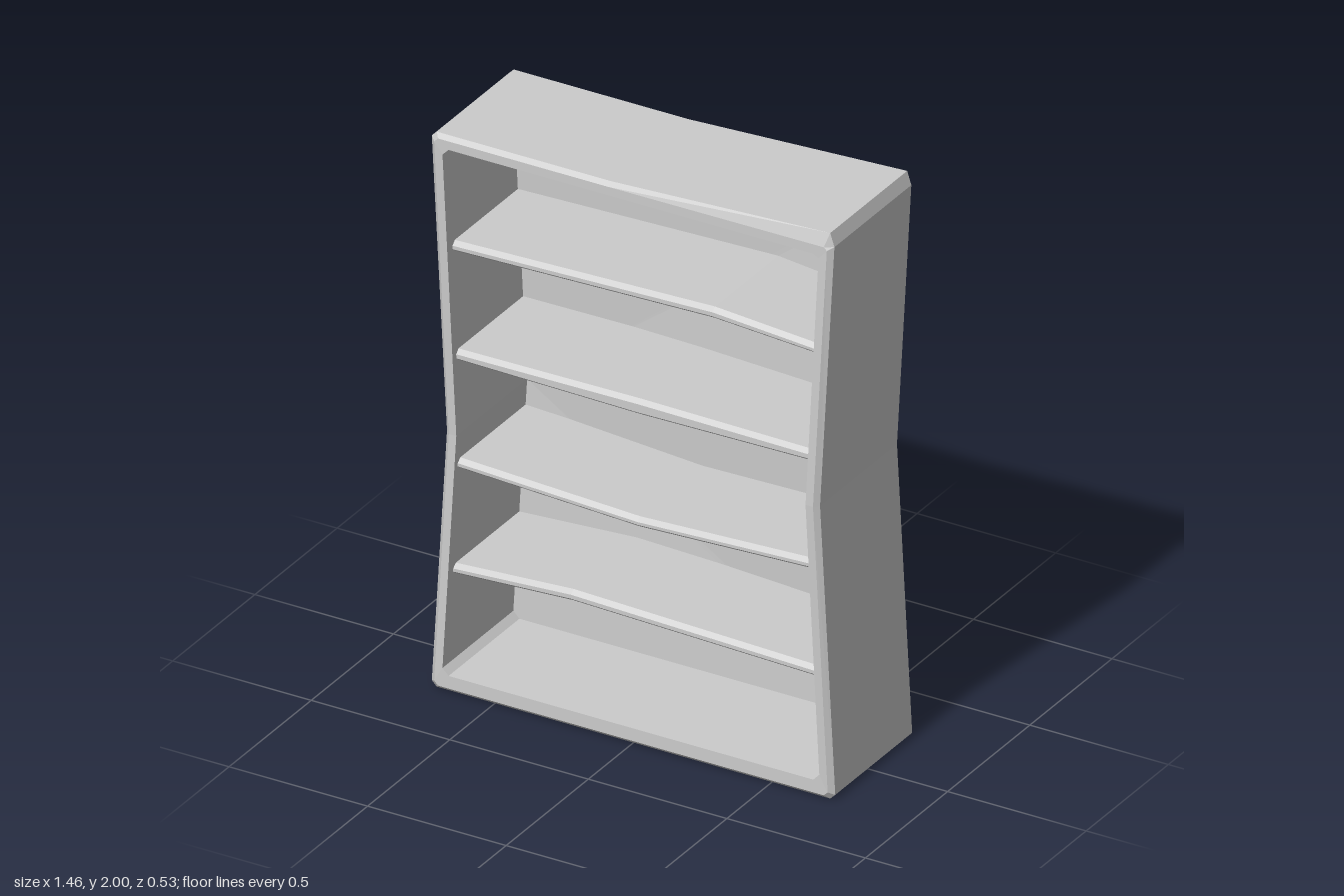
import * as THREE from 'three';

const material = new THREE.MeshStandardMaterial({ color: 0xcccccc, flatShading: true, roughness: 0.9 });

// Joins a row of matching closed loops into one faceted skin; caps are extra [loop, a, b, c] triangles
function skin(loops, caps = []) {
  const n = loops[0].length;
  const index = [];
  for (let k = 0; k < loops.length - 1; k++) {
    for (let i = 0; i < n; i++) {
      const a = k * n + i, b = k * n + (i + 1) % n;
      index.push(a, b, b + n, a, b + n, a + n);
    }
  }
  for (const [k, a, b, c] of caps) index.push(k * n + a, k * n + b, k * n + c);
  const geometry = new THREE.BufferGeometry();
  geometry.setAttribute('position', new THREE.Float32BufferAttribute(loops.flat(2), 3));
  geometry.setIndex(index);
  const flat = geometry.toNonIndexed();
  flat.computeVertexNormals();
  return flat;
}

function addMesh(group, name, geometry) {
  const mesh = new THREE.Mesh(geometry, material);
  mesh.name = name;
  group.add(mesh);
}

// Pinched case outline with cut corners; the waist on each side also leans in z
function caseLoop({ half, waist, bottom, top, peak, cut, z }) {
  return [
    [-half + cut, bottom, z], [half - cut, bottom, z], [half, bottom + cut, z],
    [waist, 1.04, z + 0.025],
    [half - 0.003, top - cut * 0.5, z], [half - cut, peak, z],
    [-0.08, top, z],
    [-half + cut, top, z], [-half, top - cut, z],
    [-waist, 0.9, z - 0.025],
    [-half, bottom + cut, z],
  ];
}

// Fans that fill a case loop, split along the line between the two waists
function caseCap(loop, reversed) {
  const fan = [];
  for (const [from, to] of [[3, 8], [10, 13]]) {
    for (let i = from; i < to; i++) {
      const a = i % 11, b = (i + 1) % 11;
      if (a === 9 || b === 9) continue;
      fan.push(reversed ? [loop, 9, b, a] : [loop, 9, a, b]);
    }
  }
  fan.push(reversed ? [loop, 9, 3, 2] : [loop, 9, 2, 3]);
  return fan;
}

export function createModel() {
  const group = new THREE.Group();
  group.name = 'bookcase';

  // Case: outer walls, bevelled front frame, then the hollow
  const outer = { half: 0.728, waist: 0.688, bottom: 0, top: 1.963, peak: 2, cut: 0.018 };
  const frame = { half: 0.71, waist: 0.672, bottom: 0.015, top: 1.95, peak: 1.953, cut: 0.014 };
  const opening = { half: 0.68, waist: 0.645, bottom: 0.06, top: 1.92, peak: 1.92, cut: 0.022 };
  const loops = [
    caseLoop({ ...outer, z: -0.243 }),
    caseLoop({ ...outer, z: 0.225 }),
    caseLoop({ ...frame, z: 0.241 }),
    caseLoop({ ...opening, z: 0.241 }),
    caseLoop({ ...opening, z: -0.19 }),
  ];
  addMesh(group, 'case', skin(loops, [...caseCap(0, true), ...caseCap(4, false)]));

  // Shelves: each bends once; sections are [x, underside, top]
  const shelves = [
    [[-0.673, 0.397, 0.432], [-0.24, 0.42, 0.458], [0.673, 0.397, 0.433]],
    [[-0.66, 0.775, 0.81], [0, 0.748, 0.782], [0.66, 0.775, 0.81]],
    [[-0.66, 1.155, 1.193], [0, 1.146, 1.199], [0.66, 1.155, 1.193]],
    [[-0.673, 1.537, 1.573], [0.27, 1.561, 1.599], [0.673, 1.537, 1.57]],
  ];
  shelves.forEach((sections, i) => {
    const shelfLoops = sections.map(([x, low, high]) => [
      [x, low, 0.188], [x, low, -0.22], [x, high, -0.22],
      [x, high, 0.185], [x, high - 0.014, 0.2], [x, low + 0.01, 0.2],
    ]);
    addMesh(group, `shelf${i + 1}`, skin(shelfLoops));
  });

  return group;
}
